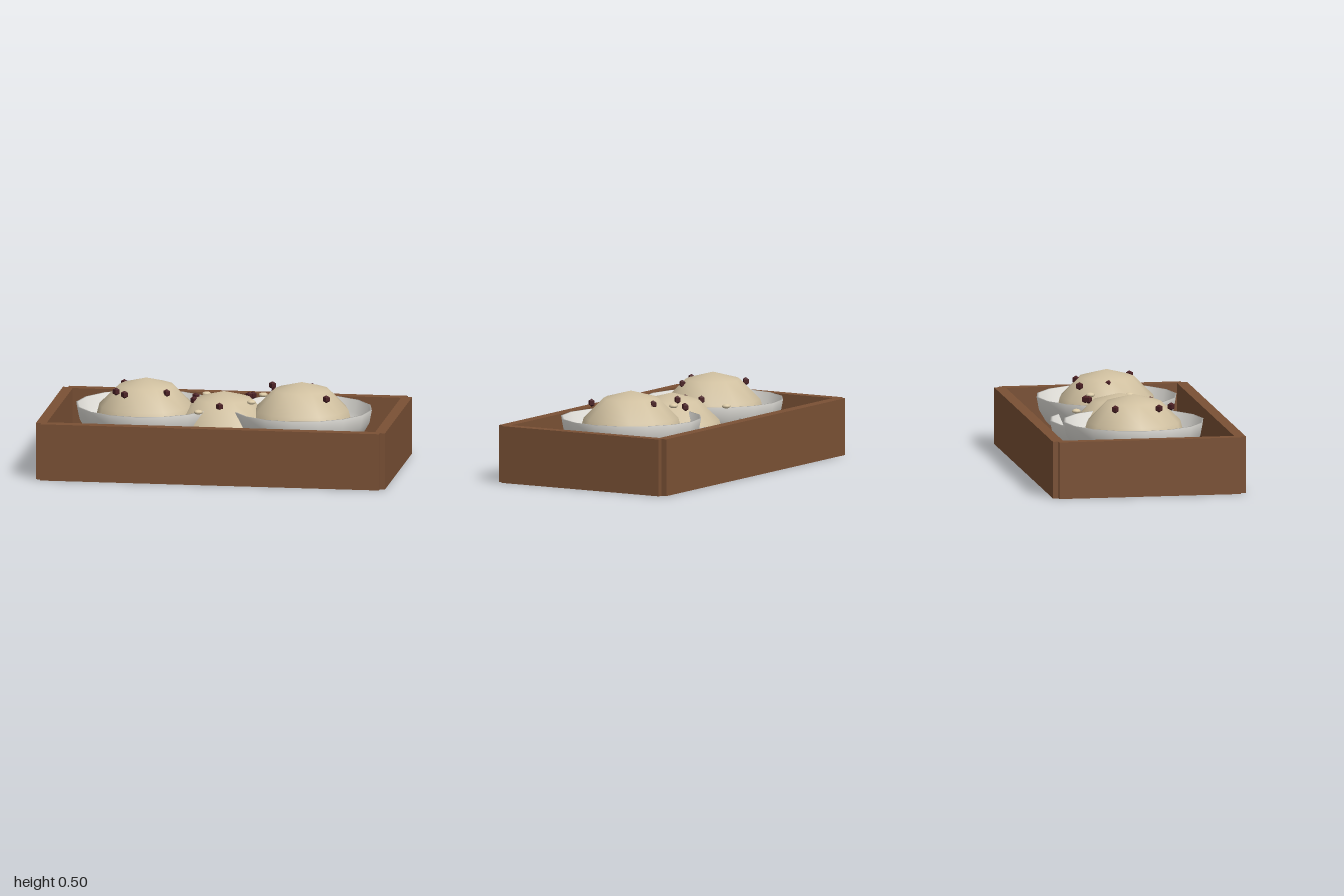
import * as THREE from 'three';

const mat = (name, color, side = THREE.FrontSide) => {
  const m = new THREE.MeshStandardMaterial({ color, side });
  m.name = name;
  return m;
};

export function createModel() {
  const root = new THREE.Group();
  root.name = 'dessertTray';
  const wood = mat('brown wood', 0x7b5135);
  const white = mat('white ceramic', 0xe4e2dc);
  const cream = mat('cream', 0xd0c0a0, THREE.DoubleSide);
  const berry = mat('dark red berry', 0x4a2024);
  const nutTan = mat('pale nut', 0xdccba8);

  const add = (parent, name, geometry, material, x, y, z) => {
    const mesh = new THREE.Mesh(geometry, material);
    mesh.name = name;
    mesh.position.set(x, y, z);
    parent.add(mesh);
    return mesh;
  };

  // Wooden tray: floor, long walls and short walls with notched corners
  const tray = new THREE.Group();
  tray.name = 'tray';
  root.add(tray);
  const H = 0.325;
  add(tray, 'trayFloor', new THREE.BoxGeometry(1.94, 0.06, 1.04), wood, 0, 0.03, 0);
  for (const s of [-1, 1]) {
    add(tray, 'longWall', new THREE.BoxGeometry(1.94, H, 0.063), wood, 0, H / 2, s * 0.5235);
    add(tray, 'shortWall', new THREE.BoxGeometry(0.06, H, 1.045), wood, s * 0.97, H / 2, 0);
  }

  // Bowl profile: rounded outside, thin rim, rounded inside
  const profile = [];
  const steps = 6;
  for (let i = 0; i <= steps; i++) {
    const a = (i / steps) * Math.PI / 2;
    profile.push(new THREE.Vector2(0.402 * Math.sin(a), -0.282 * Math.cos(a)));
  }
  for (let i = steps; i >= 0; i--) {
    const a = (i / steps) * Math.PI / 2;
    profile.push(new THREE.Vector2(0.39 * Math.sin(a), -0.27 * Math.cos(a)));
  }
  const bowlGeo = new THREE.LatheGeometry(profile, 16);
  const scoopGeo = new THREE.SphereGeometry(0.31, 12, 3, 0, Math.PI * 2, 0, Math.PI / 2);

  // Three bowls with a scoop each, the middle one sits lower
  for (const [x, drop] of [[-0.445, 0], [0, 0.065], [0.445, 0]]) {
    const serving = new THREE.Group();
    serving.name = 'serving';
    serving.position.set(x, -drop, 0);
    root.add(serving);
    add(serving, 'bowl', bowlGeo, white, 0, 0.349, 0);
    add(serving, 'scoop', scoopGeo, cream, 0, 0.19, 0);
  }

  // Dark berries scattered over the scoops
  const berryGeo = new THREE.SphereGeometry(0.023, 4, 3).toNonIndexed();
  berryGeo.computeVertexNormals();
  const outer = [[-0.59, -0.13], [-0.6, 0.12], [-0.54, 0.2], [-0.31, 0.12],
    [0.25, -0.19], [0.48, -0.17], [0.61, 0.16], [0.29, -0.015]];
  const middle = [[0, 0.175], [-0.175, -0.09], [-0.17, 0.015], [0.12, -0.16], [0.14, -0.175]];
  for (const [x, z] of outer) add(root, 'berry', berryGeo, berry, x, 0.438, z);
  for (const [x, z] of middle) add(root, 'berry', berryGeo, berry, x, 0.38, z);

  // Flat nuts
  const nutGeo = new THREE.SphereGeometry(0.026, 8, 6);
  for (const [x, y, z] of [[-0.14, 0.36, -0.275], [0.205, 0.393, -0.135],
    [0.17, 0.393, 0.085], [-0.11, 0.36, 0.25]]) {
    add(root, 'nut', nutGeo, nutTan, x, y, z).scale.y = 0.5;
  }
  return root;
}
